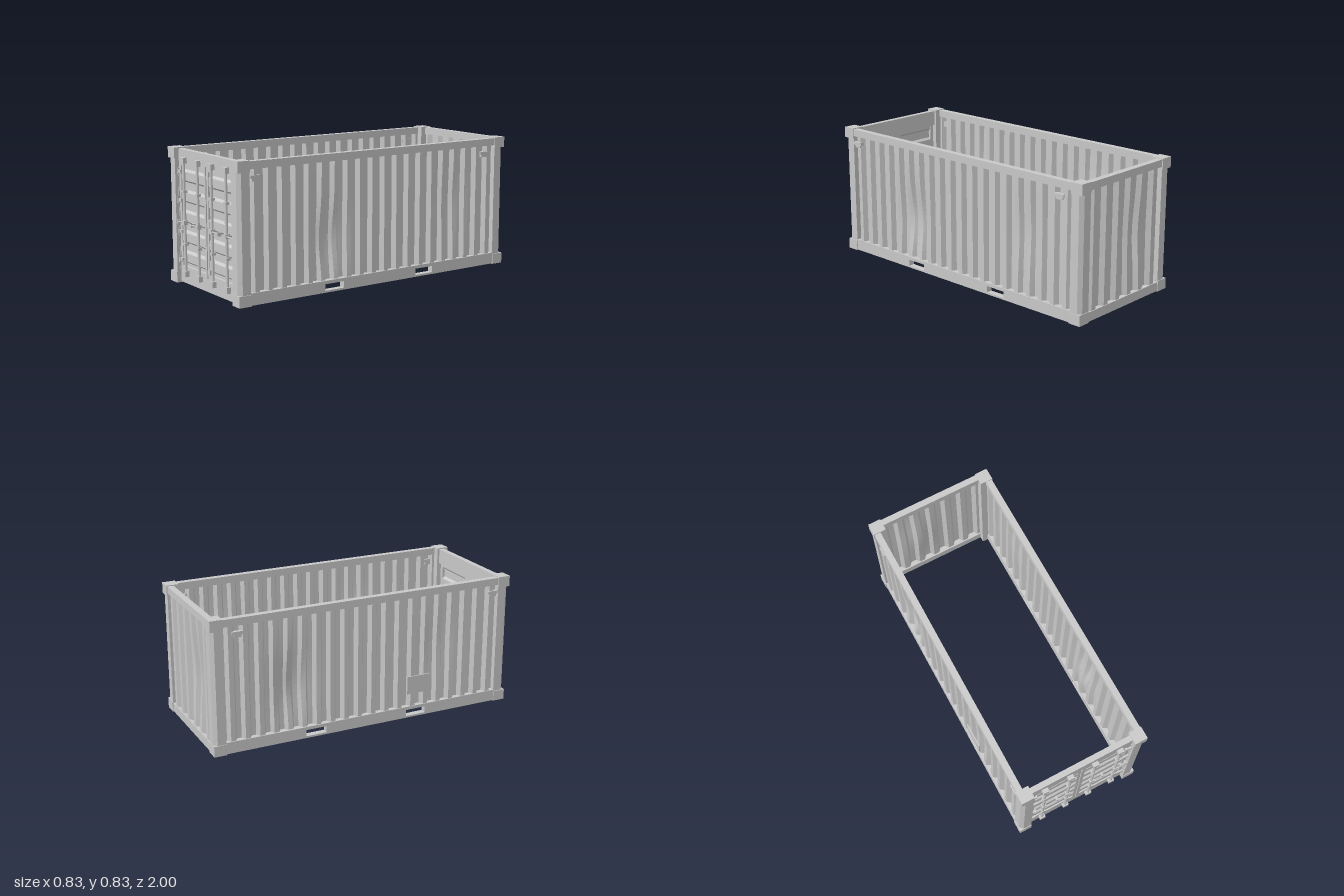
import * as THREE from 'three';

const steel = new THREE.MeshStandardMaterial({ color: 0xc8c8c8, side: THREE.DoubleSide });
steel.name = 'bare grey steel';

export function createModel() {
  const root = new THREE.Group();
  root.name = 'openContainer';

  const add = (name, geo) => {
    const m = new THREE.Mesh(geo, steel);
    m.name = name;
    root.add(m);
    return m;
  };
  // box given by its extents
  const box = (name, x0, x1, y0, y1, z0, z1) => {
    const m = add(name, new THREE.BoxGeometry(Math.abs(x1 - x0), y1 - y0, Math.abs(z1 - z0)));
    m.position.set((x0 + x1) / 2, (y0 + y1) / 2, (z0 + z1) / 2);
    return m;
  };
  const rectPoints = (x0, x1, y0, y1) => [[x0, y0], [x1, y0], [x1, y1], [x0, y1]].map(p => new THREE.Vector2(...p));
  // rectangular plate with rectangular holes, extruded along z
  const plate = (outer, holes, depth) => {
    const s = new THREE.Shape(rectPoints(...outer));
    holes.forEach(h => s.holes.push(new THREE.Path(rectPoints(...h))));
    return new THREE.ExtrudeGeometry(s, { depth, bevelEnabled: false });
  };

  // trapezoid corrugation profile: [along, depth 0 = outer, 1 = inner]
  const profile = (from, to, count) => {
    const p = (to - from) / count, out = [];
    for (let i = 0; i < count; i++) {
      [[0, 1], [0.16, 1], [0.34, 0], [0.66, 0], [0.84, 1]].forEach(([t, d]) => out.push([from + (i + t) * p, d]));
    }
    out.push([to, 1]);
    return out;
  };
  // sheet swept from a profile, faceted
  const sheet = (name, prof, v0, v1, rows, place) => {
    const pos = [], idx = [], n = prof.length;
    for (let j = 0; j <= rows; j++) {
      const v = v0 + (v1 - v0) * j / rows;
      prof.forEach(([u, d]) => pos.push(...place(u, v, d)));
    }
    for (let j = 0; j < rows; j++) for (let i = 0; i < n - 1; i++) {
      const a = j * n + i, b = a + 1, c = a + n, e = c + 1;
      idx.push(a, b, e, a, e, c);
    }
    let g = new THREE.BufferGeometry();
    g.setAttribute('position', new THREE.Float32BufferAttribute(pos, 3));
    g.setIndex(idx);
    g = g.toNonIndexed();
    g.computeVertexNormals();
    return add(name, g);
  };
  // smooth inward dents: [along, height, amount, spread along, spread up]
  const dentAt = (dents, u, v) => dents.reduce((sum, [cu, cv, a, su, sv]) =>
    sum + a * Math.exp(-(((u - cu) / su) ** 2) - ((v - cv) / sv) ** 2), 0);

  // corner castings and chamfered posts
  for (const sx of [1, -1]) for (const sz of [1, -1]) {
    for (const [y0, y1] of [[0, 0.067], [0.768, 0.835]])
      box('cornerCasting', sx * 0.333, sx * 0.415, y0, y1, sz * 0.92, sz * 1);
    const outline = [[0.333, 0.92], [0.41, 0.92], [0.41, 0.975], [0.388, 0.996], [0.333, 0.996]];
    const s = new THREE.Shape(outline.map(([x, z]) => new THREE.Vector2(sx * x, -sz * z)));
    const post = add('cornerPost', new THREE.ExtrudeGeometry(s, { depth: 0.701, bevelEnabled: false }));
    post.rotation.x = -Math.PI / 2;
    post.position.y = 0.067;
  }

  // long sides: rails, corrugated wall, vents
  const sideDents = {
    '1': [[0.38, 0.32, 0.04, 0.11, 0.2], [-0.56, 0.45, 0.016, 0.1, 0.2]],
    '-1': [[-0.49, 0.34, 0.04, 0.11, 0.2], [0.5, 0.45, 0.012, 0.1, 0.2]],
  };
  for (const sx of [1, -1]) {
    box('topSideRail', sx * 0.37, sx * 0.41, 0.785, 0.83, -0.92, 0.92);
    const rail = add('bottomSideRail', plate([-0.92, 0.92, 0.003, 0.075],
      [[-0.41, -0.275, 0.015, 0.055], [0.275, 0.41, 0.015, 0.055]], 0.04));
    rail.rotation.y = Math.PI / 2;
    rail.position.x = sx > 0 ? 0.37 : -0.41;

    sheet('sideWall', profile(-0.92, 0.92, 20), 0.075, 0.785, 24, (z, y, d) => {
      const dent = dentAt(sideDents[sx], z, y);
      const depth = d * 0.028 * (1 - Math.min(0.6, dent * 15)) + dent;
      return [sx * (0.404 - depth), y, z];
    });
    for (const z of [0.882, -0.832]) {
      box('ventHood', sx * 0.39, sx * 0.413, 0.73, 0.75, z - 0.034, z + 0.034);
      box('ventBase', sx * 0.39, sx * 0.411, 0.715, 0.73, z - 0.024, z + 0.024);
    }
  }
  box('dataPlate', -0.411, -0.404, 0.16, 0.275, 0.28, 0.44);

  // back end
  box('backTopRail', -0.333, 0.333, 0.785, 0.83, -0.995, -0.955);
  box('backBottomRail', -0.333, 0.333, 0.003, 0.06, -0.995, -0.955);
  const backDents = [[-0.12, 0.42, 0.022, 0.1, 0.22]];
  sheet('backWall', profile(-0.333, 0.333, 6), 0.06, 0.785, 24, (x, y, d) =>
    [x, y, -0.99 + d * 0.026 + dentAt(backDents, x, y)]);

  // door frame with two openings
  const openings = [[-0.307, -0.024, 0.11, 0.727], [0.024, 0.307, 0.11, 0.727]];
  add('doorFrame', plate([-0.333, 0.333, 0.005, 0.828], openings, 0.02)).position.z = 0.95;
  box('doorHeader', -0.333, 0.333, 0.73, 0.828, 0.935, 0.951);
  box('doorSill', -0.333, 0.333, 0.005, 0.107, 0.935, 0.951);
  box('doorSeal', -0.004, 0.004, 0.085, 0.755, 0.965, 0.976);

  // horizontally ribbed door panels: five outward ribs
  const ribs = [[0.11, 1]];
  for (let i = 0; i < 5; i++) {
    const c = 0.167 + i * 0.125;
    ribs.push([c - 0.039, 1], [c - 0.026, 0], [c + 0.026, 0], [c + 0.04, 1]);
  }
  ribs.push([0.727, 1]);
  for (const [x0, x1] of openings)
    sheet('doorPanel', ribs, x1, x0, 1, (y, x, d) => [x, y, 0.967 - d * 0.016]);

  // lock rods, keepers, brackets and handles
  for (const sx of [1, -1]) {
    for (const r of [0.083, 0.25]) {
      const x = sx * r;
      const rod = add('lockRod', new THREE.CylinderGeometry(0.009, 0.009, 0.68, 12));
      rod.position.set(x, 0.418, 0.982);
      box('lowerKeeper', x - 0.019, x + 0.019, 0.053, 0.089, 0.968, 0.996);
      box('upperKeeper', x - 0.019, x + 0.019, 0.748, 0.783, 0.968, 0.996);
      for (const y of [0.253, 0.577])
        box('rodBracket', x - 0.013, x + 0.013, y - 0.008, y + 0.008, 0.966, 0.993);
      box('handleHub', x - 0.013, x + 0.013, 0.372, 0.4, 0.968, 0.995);
      const curve = new THREE.CatmullRomCurve3([[0, 0.383, 0.986], [0.04, 0.387, 0.991], [0.08, 0.38, 0.988]]
        .map(([dx, y, z]) => new THREE.Vector3(x + sx * dx, y, z)));
      add('handle', new THREE.TubeGeometry(curve, 8, 0.005, 6));
      box('handleClip', x + sx * 0.07, x + sx * 0.082, 0.371, 0.393, 0.966, 0.994);
    }
    // hinges
    box('hingeStrip', sx * 0.33, sx * 0.335, 0.085, 0.755, 0.965, 0.976);
    for (const y of [0.148, 0.323, 0.515, 0.69]) {
      box('hingeLeaf', sx * 0.298, sx * 0.326, y - 0.01, y + 0.01, 0.966, 0.98);
      box('hingeKnuckle', sx * 0.325, sx * 0.336, y - 0.02, y + 0.02, 0.966, 0.984);
    }
  }
  return root;
}
